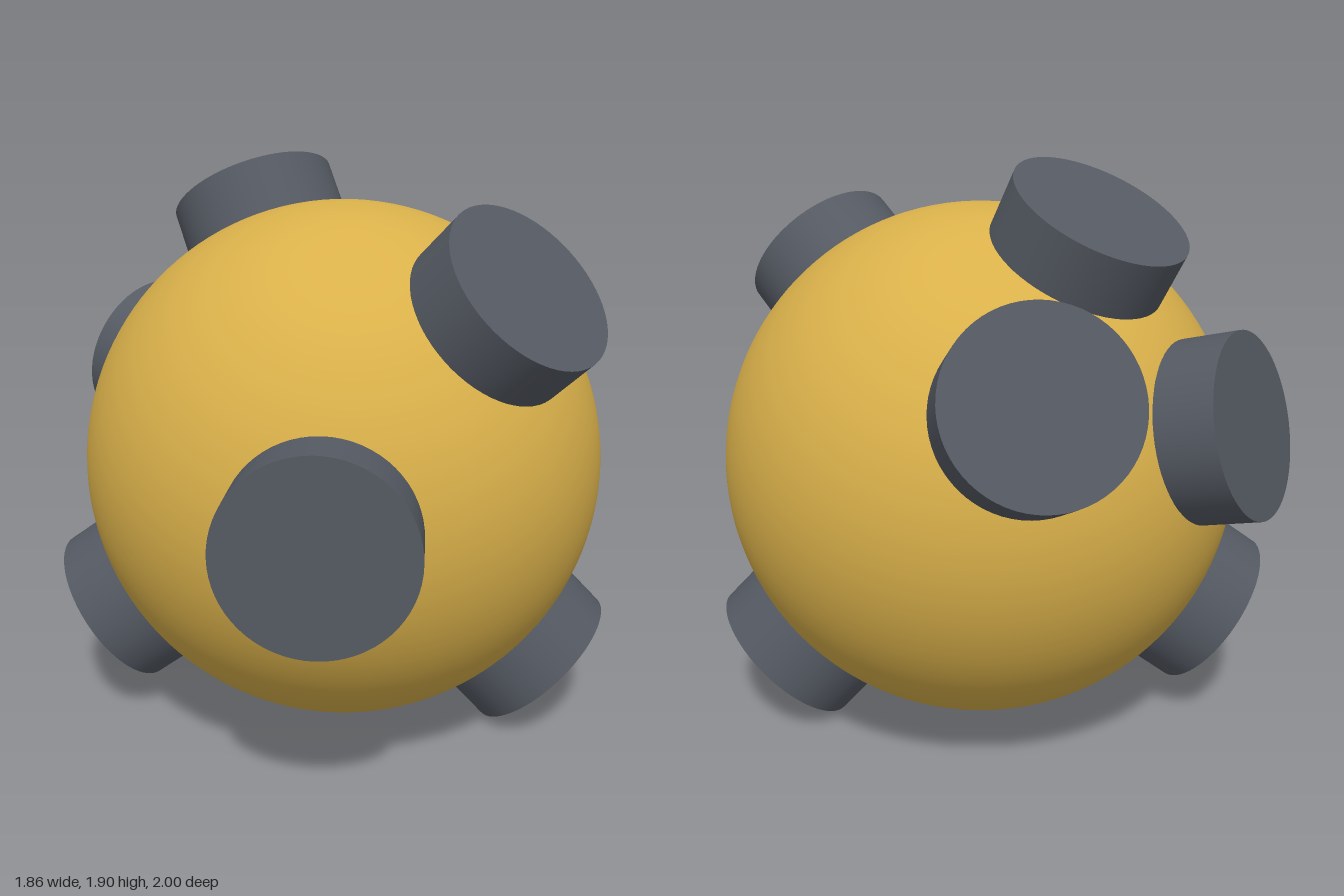
import * as THREE from 'three';

const CENTER = new THREE.Vector3(0.04, 0.91, 0.01);
const BODY_RADIUS = 0.85;
const STUD_RADIUS = 0.283;
const STUD_REACH = 0.987; // centre of the body to a stud's outer cap
const STUD_DEPTH = 0.3;   // includes the part sunk into the body

// Outward direction of each stud
const STUDS = {
  frontStud: [0, 0, 1],
  lowerRightStud: [-0.805, -0.57, 0],
  lowerLeftStud: [0.685, -0.71, 0],
  upperFrontStud: [0.56, 0.645, 0.487],
  topStud: [-0.345, 0.846, -0.362],
  backStud: [-0.135, 0.39, -0.895],
  backRightStud: [-0.785, 0.24, -0.55],
};

export function createModel() {
  const gold = new THREE.MeshStandardMaterial({ name: 'gold', color: 0xd9b04a });
  const slate = new THREE.MeshStandardMaterial({ name: 'slate', color: 0x555a63 });

  const model = new THREE.Group();
  model.name = 'studdedBall';

  // Round body
  const body = new THREE.Mesh(new THREE.SphereGeometry(BODY_RADIUS, 96, 64), gold);
  body.name = 'body';
  body.position.copy(CENTER);
  model.add(body);

  // Short cylinders pointing straight out of the body
  const studGeometry = new THREE.CylinderGeometry(STUD_RADIUS, STUD_RADIUS, STUD_DEPTH, 64);
  const up = new THREE.Vector3(0, 1, 0);
  for (const [name, direction] of Object.entries(STUDS)) {
    const axis = new THREE.Vector3(...direction).normalize();
    const stud = new THREE.Mesh(studGeometry, slate);
    stud.name = name;
    stud.quaternion.setFromUnitVectors(up, axis);
    stud.position.copy(CENTER).addScaledVector(axis, STUD_REACH - STUD_DEPTH / 2);
    model.add(stud);
  }

  return model;
}
